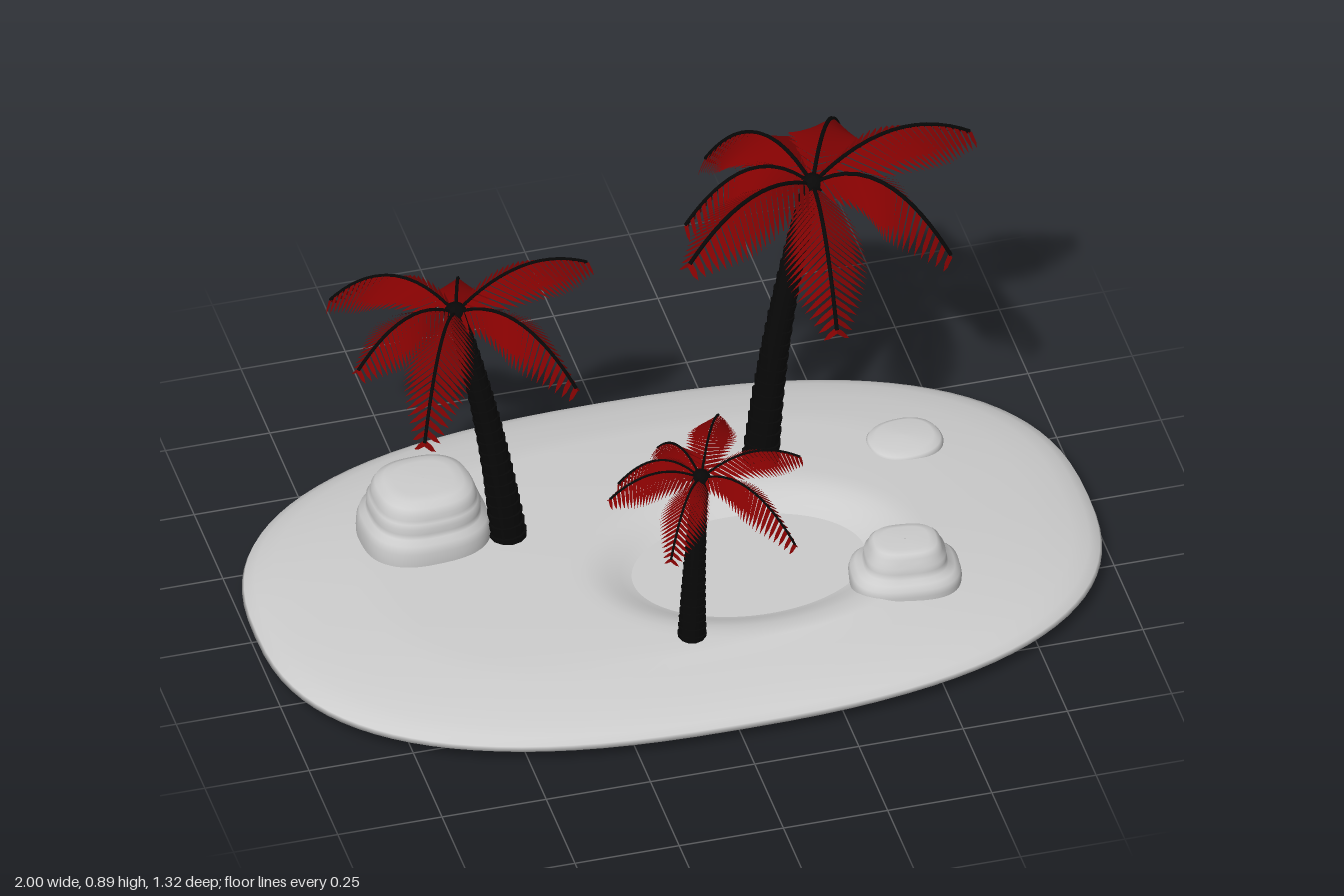
import * as THREE from 'three';
import { mergeGeometries } from 'three/addons/utils/BufferGeometryUtils.js';

const sand = new THREE.MeshStandardMaterial({ color: 0xcccccc });
sand.name = 'paleSand';
const bark = new THREE.MeshStandardMaterial({ color: 0x080808 });
bark.name = 'blackBark';
const leaf = new THREE.MeshStandardMaterial({ color: 0x800202, side: THREE.DoubleSide });
leaf.name = 'darkRedLeaf';

function named(geometry, material, name) {
  const mesh = new THREE.Mesh(geometry, material);
  mesh.name = name;
  return mesh;
}

// Superellipse rings [rx, rz, y, cx, cz, exponent], listed from the underside up and inward
function loft(rings, sides) {
  const pos = [], index = [];
  rings.forEach(([rx, rz, y, cx, cz, n], r) => {
    for (let i = 0; i < sides; i++) {
      const a = (i / sides) * Math.PI * 2, c = Math.cos(a), s = Math.sin(a);
      pos.push(cx + rx * Math.sign(c) * Math.abs(c) ** (2 / n), y,
        cz + rz * Math.sign(s) * Math.abs(s) ** (2 / n));
      if (r === rings.length - 1) continue;
      const p = r * sides + i, q = r * sides + (i + 1) % sides;
      index.push(p, p + sides, q, q, p + sides, q + sides);
    }
  });
  const g = new THREE.BufferGeometry();
  g.setAttribute('position', new THREE.Float32BufferAttribute(pos, 3));
  g.setIndex(index);
  g.computeVertexNormals();
  return g;
}

// Low island with a sunken pond
function island() {
  const group = new THREE.Group();
  group.name = 'island';
  const px = 0.16, pz = 0.12;
  const shore = [[0.001, 0], [0.6, 0.002], [0.9, 0.01], [0.97, 0.02], [1, 0.037], [0.995, 0.048],
    [0.97, 0.06], [0.93, 0.072], [0.85, 0.085], [0.74, 0.098], [0.66, 0.105]]
    .map(([k, y]) => [k, 0.63 * k, y, 0, 0.03, 2.5]);
  const bank = [[0.42, 0.31, 0.112], [0.39, 0.285, 0.112], [0.365, 0.26, 0.109], [0.335, 0.235, 0.101],
    [0.305, 0.21, 0.088], [0.28, 0.19, 0.078], [0.25, 0.165, 0.068], [0.2, 0.13, 0.06], [0.001, 0.001, 0.058]]
    .map(([rx, rz, y]) => [rx, rz, y, px, pz, 2]);
  group.add(named(loft([...shore, ...bank], 96), sand, 'ground'));
  const water = new THREE.CircleGeometry(1, 64).rotateX(-Math.PI / 2).scale(0.28, 1, 0.19);
  water.translate(px, 0.077, pz);
  group.add(named(water, sand, 'pondWater'));
  return group;
}

// Layered boulder: steps are [scale, y]
function rock(name, x, z, rx, rz, turn, roundness, steps) {
  const rings = steps.map(([k, y]) => [rx * k, rz * k, y, 0, 0, roundness]);
  const mesh = named(loft(rings, 48), sand, name);
  mesh.position.set(x, 0, z);
  mesh.rotation.y = turn;
  return mesh;
}

// Trunk: stacked flared collars following a curve that starts steep and leans towards the crown
function trunk(base, top, r0, r1) {
  const mid = base.clone().lerp(top, 0.5);
  mid.x += (base.x - top.x) * 0.26;
  mid.z += (base.z - top.z) * 0.12;
  const curve = new THREE.QuadraticBezierCurve3(base, mid, top);
  const count = 22, parts = [], up = new THREE.Vector3(0, 1, 0);
  for (let i = 0; i < count; i++) {
    const a = curve.getPoint(i / count), b = curve.getPoint((i + 1) / count);
    const dir = b.clone().sub(a), r = r0 + (r1 - r0) * (i / count) ** 0.8;
    const g = new THREE.CylinderGeometry(r * 1.07, r * 0.95, dir.length() * 1.12, 12);
    g.applyQuaternion(new THREE.Quaternion().setFromUnitVectors(up, dir.normalize()));
    g.translate(...a.add(b).multiplyScalar(0.5).toArray());
    parts.push(g);
  }
  return named(mergeGeometries(parts), bark, 'trunk');
}

// Frond: arched stem with two rows of slender drooping leaflets
function frond(hub, end, size, lift) {
  const tip = hub.clone().lerp(end, 0.95);
  const control = hub.clone().lerp(tip, 0.5);
  control.y = hub.y + size * lift;
  const curve = new THREE.QuadraticBezierCurve3(hub, control, tip);
  const across = new THREE.Vector3(hub.z - tip.z, 0, tip.x - hub.x).normalize();
  const pos = [], count = 22, step = curve.getLength() / count;
  const put = (...pts) => pts.forEach((p) => pos.push(p.x, p.y, p.z));
  for (let i = 0; i < count; i++) {
    const t = (i + 1) / count, p = curve.getPoint(t), f = curve.getTangent(t);
    const normal = new THREE.Vector3().crossVectors(f, across).normalize();
    if (normal.y > 0) normal.negate();
    const length = size * 0.33 * Math.sin(Math.PI * (0.2 + 0.7 * t));
    for (const side of [-1, 1]) {
      const d = across.clone().multiplyScalar(side * 0.75).addScaledVector(f, 0.5)
        .addScaledVector(normal, 0.55).normalize();
      const a = p.clone().addScaledVector(f, -step * 0.42), b = p.clone().addScaledVector(f, step * 0.42);
      const m = p.clone().addScaledVector(d, length * 0.6);
      const c = m.clone().addScaledVector(f, -step * 0.36), e = m.clone().addScaledVector(f, step * 0.36);
      const q = p.clone().addScaledVector(d, length);
      if (side > 0) put(a, b, c, b, e, c, c, e, q);
      else put(b, a, c, b, c, e, e, c, q);
    }
  }
  const blades = new THREE.BufferGeometry();
  blades.setAttribute('position', new THREE.Float32BufferAttribute(pos, 3));
  blades.computeVertexNormals();
  const group = new THREE.Group();
  group.name = 'frond';
  group.add(named(blades, leaf, 'leaflets'));
  group.add(named(new THREE.TubeGeometry(curve, 14, size * 0.012, 5), bark, 'stem'));
  return group;
}

// Palm: tips are [x, y, z, lift], the frond end and how far its stem arches up
function palm(name, base, top, r0, r1, size, tips) {
  const group = new THREE.Group();
  group.name = name;
  const hub = new THREE.Vector3(...top);
  group.add(trunk(new THREE.Vector3(...base), hub, r0, r1));
  const bud = named(new THREE.SphereGeometry(r1 * 1.3, 12, 8), bark, 'crownBud');
  bud.position.copy(hub);
  group.add(bud);
  tips.forEach(([x, y, z, lift = 0.36]) => group.add(frond(hub, new THREE.Vector3(x, y, z), size, lift)));
  return group;
}

export function createModel() {
  const model = new THREE.Group();
  model.name = 'palmIsland';
  model.add(island());

  // Boulders
  model.add(rock('largeRock', -0.54, -0.175, 0.152, 0.137, 0.05, 2.6, [[0.98, 0.07], [1, 0.11],
    [0.99, 0.14], [0.95, 0.16], [0.86, 0.17], [0.84, 0.182], [0.85, 0.198], [0.81, 0.208], [0.78, 0.216],
    [0.78, 0.228], [0.72, 0.244], [0.6, 0.253], [0.45, 0.256], [0.01, 0.257]]));
  model.add(rock('smallRock', 0.49, 0.28, 0.13, 0.103, -0.12, 2.8, [[0.98, 0.08], [1, 0.112],
    [0.97, 0.127], [0.88, 0.138], [0.76, 0.146], [0.73, 0.16], [0.72, 0.175], [0.65, 0.184], [0.64, 0.195],
    [0.56, 0.205], [0.42, 0.208], [0.01, 0.208]]));
  model.add(rock('flatRock', 0.622, -0.205, 0.09, 0.078, 0.1, 2.3, [[0.98, 0.08], [1, 0.103],
    [0.93, 0.112], [0.75, 0.119], [0.01, 0.121]]));

  // Palms
  model.add(palm('rightPalm', [0.28, 0.09, -0.22], [0.43, 0.815, -0.31], 0.043, 0.021, 0.42, [
    [0.26, 0.66, -0.67], [0.58, 0.74, -0.6], [0.86, 0.8, -0.43], [0.73, 0.67, -0.13],
    [0.39, 0.65, 0.06, 0.14], [0.06, 0.81, -0.09], [0.13, 0.7, -0.38]]));
  model.add(palm('leftPalm', [-0.355, 0.09, -0.1], [-0.46, 0.715, -0.185], 0.043, 0.021, 0.35, [
    [-0.7, 0.6, -0.46], [-0.39, 0.63, -0.41, 0.14], [-0.1, 0.72, -0.29], [-0.22, 0.61, 0.05],
    [-0.63, 0.6, 0.15], [-0.74, 0.69, -0.06]]));
  model.add(palm('frontPalm', [-0.05, 0.08, 0.385], [-0.005, 0.5, 0.3], 0.034, 0.018, 0.25, [
    [-0.04, 0.4, 0.03, 0.2], [0.1, 0.51, 0.08], [0.25, 0.5, 0.28], [0.18, 0.4, 0.49],
    [-0.13, 0.41, 0.48, 0.24], [-0.24, 0.5, 0.32], [-0.18, 0.43, 0.18]]));
  return model;
}
